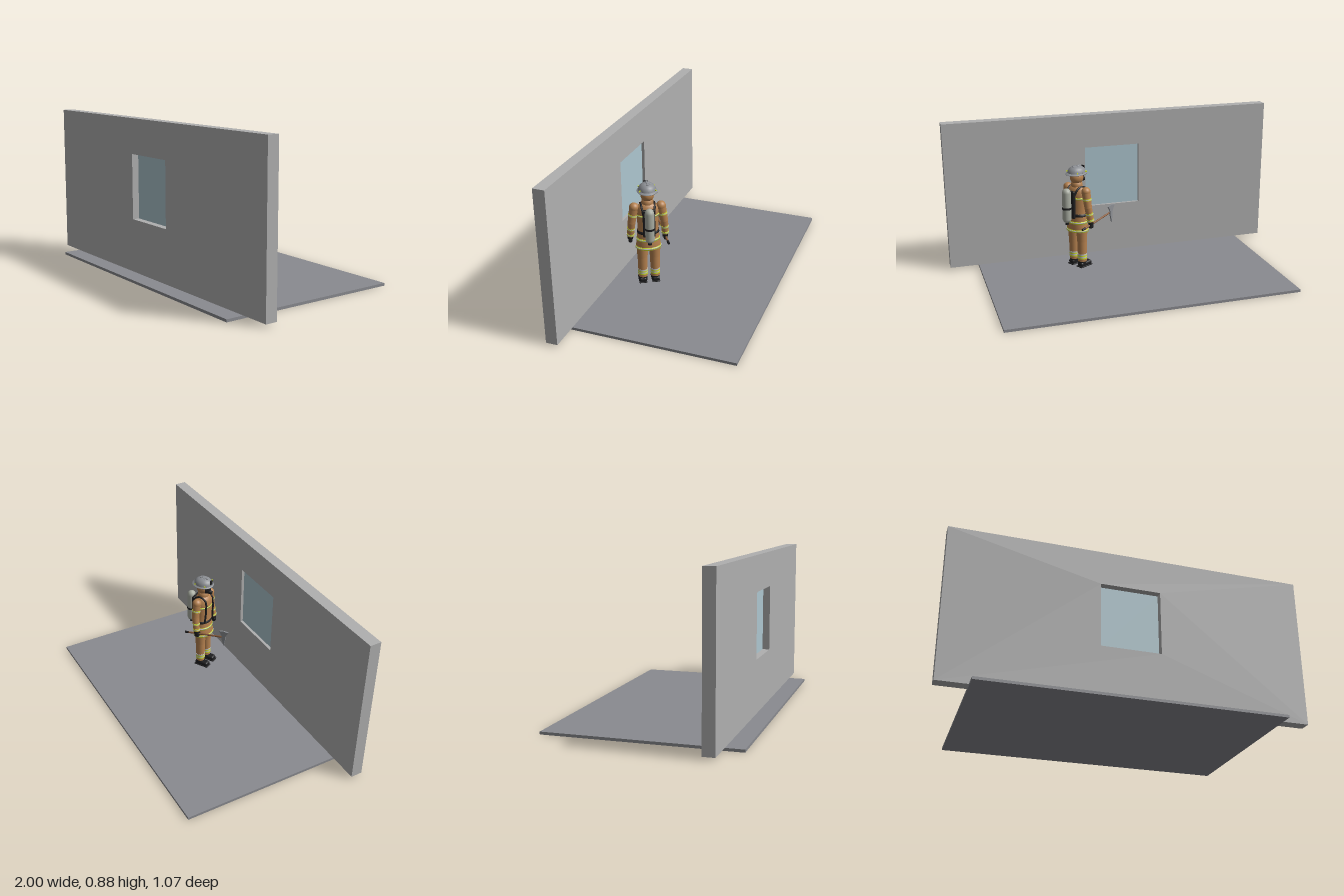
import * as THREE from 'three';
import { RoundedBoxGeometry } from 'three/addons/geometries/RoundedBoxGeometry.js';

const material = (name, color, side = THREE.FrontSide) => {
  const m = new THREE.MeshStandardMaterial({ color, side });
  m.name = name;
  return m;
};

export function createModel() {
  const wallGrey = material('wall grey', 0xb0b0b0);
  const floorGrey = material('floor grey', 0x8a8b90);
  const glassBlue = material('glass blue', 0xadc6cf);
  const tan = material('coat tan', 0xb5814f);
  const yellow = material('reflective yellow', 0xcfe02a);
  const silver = material('reflective silver', 0xc8c8c6);
  const black = material('black gear', 0x1e1e20);
  const steel = material('helmet grey', 0x8c8f94, THREE.DoubleSide);
  const tankGrey = material('tank grey', 0xa9ada2);
  const wood = material('handle wood', 0x8a5a38);

  const model = new THREE.Group();
  model.name = 'room with firefighter';
  const person = new THREE.Group();
  person.name = 'firefighter';
  person.position.set(0.27, 0, 0.167);
  person.rotation.y = -Math.PI / 3;
  model.add(person);

  const add = (parent, name, geometry, mat, x = 0, y = 0, z = 0) => {
    const mesh = new THREE.Mesh(geometry, mat);
    mesh.name = name;
    mesh.position.set(x, y, z);
    parent.add(mesh);
    return mesh;
  };
  // Turned part from [radius, height] pairs, flattened front to back
  const turned = (name, mat, points, depth = 1) => {
    const geo = new THREE.LatheGeometry(points.map(p => new THREE.Vector2(...p)), 32);
    const mesh = add(person, name, geo, mat);
    mesh.scale.z = depth;
    return mesh;
  };
  // Tapered tube between two points
  const limb = (name, mat, a, b, ra, rb) => {
    const from = new THREE.Vector3(...a), to = new THREE.Vector3(...b);
    const dir = to.clone().sub(from);
    const mesh = add(person, name, new THREE.CylinderGeometry(rb, ra, dir.length(), 20), mat);
    mesh.position.copy(from).add(to).multiplyScalar(0.5);
    mesh.quaternion.setFromUnitVectors(new THREE.Vector3(0, 1, 0), dir.normalize());
    return mesh;
  };
  // Reflective strip: yellow with a silver centre, around a limb at fraction t
  const limbBand = (a, b, t, r, h) => {
    const A = new THREE.Vector3(...a), B = new THREE.Vector3(...b);
    const d = B.clone().sub(A).normalize();
    const c = A.lerp(B, t);
    const at = s => c.clone().addScaledVector(d, s).toArray();
    limb('sleeve band', yellow, at(-h), at(h), r, r);
    limb('sleeve band centre', silver, at(-h * 0.35), at(h * 0.35), r + 0.0008, r + 0.0008);
  };
  const ball = (name, mat, x, y, z, r, sx = 1, sy = 1, sz = 1) => {
    const mesh = add(person, name, new THREE.SphereGeometry(r, 24, 16), mat, x, y, z);
    mesh.scale.set(sx, sy, sz);
    return mesh;
  };

  // Floor slab, wall with window opening, and pane
  add(model, 'floor', new THREE.BoxGeometry(1.665, 0.015, 1.066), floorGrey, 0, 0.0075, 0);
  const rect = (s, x0, y0, x1, y1) =>
    s.moveTo(x0, y0).lineTo(x1, y0).lineTo(x1, y1).lineTo(x0, y1).closePath();
  const wallShape = new THREE.Shape();
  rect(wallShape, -1, 0.015, 1, 0.885);
  const opening = new THREE.Path();
  rect(opening, -0.17, 0.318, 0.167, 0.686);
  wallShape.holes.push(opening);
  add(model, 'wall', new THREE.ExtrudeGeometry(wallShape, { depth: 0.065, bevelEnabled: false }), wallGrey, 0, 0, 0.369);
  add(model, 'window pane', new THREE.BoxGeometry(0.337, 0.368, 0.009), glassBlue, -0.0015, 0.502, 0.39);

  // Coat, with reflective bands and belt
  turned('coat', tan, [[0, 0.255], [0.067, 0.247], [0.072, 0.248], [0.066, 0.29], [0.059, 0.35], [0.059, 0.4],
    [0.062, 0.46], [0.06, 0.495], [0.045, 0.515], [0.026, 0.525], [0, 0.526]], 0.78);
  const coatBand = (name, mat, y0, y1, r0, r1) =>
    turned(name, mat, [[r0 - 0.01, y0], [r0, y0], [r1, y1], [r1 - 0.01, y1]], 0.78);
  coatBand('hem band', yellow, 0.249, 0.264, 0.0735, 0.071);
  coatBand('hem band centre', silver, 0.254, 0.259, 0.0735, 0.0728);
  coatBand('skirt band', yellow, 0.298, 0.313, 0.067, 0.0648);
  coatBand('skirt band centre', silver, 0.303, 0.308, 0.067, 0.0662);
  coatBand('belt', black, 0.342, 0.358, 0.0625, 0.0615);
  coatBand('chest band', yellow, 0.447, 0.459, 0.063, 0.0637);
  coatBand('chest band centre', silver, 0.451, 0.455, 0.0638, 0.0642);
  turned('collar', tan, [[0.032, 0.515], [0.034, 0.525], [0.031, 0.54], [0.024, 0.545]]);

  // Hooded head and face mask
  ball('head', tan, 0, 0.57, 0, 0.038, 1, 1.05, 1.08);
  ball('face mask', black, 0, 0.57, 0.016, 0.032, 0.95, 1.1, 1);
  limb('mask regulator', black, [0, 0.552, 0.04], [0, 0.549, 0.058], 0.013, 0.011);

  // Helmet with brim, ridges and badge plate
  const dome = [[0.049, 0.597], [0.047, 0.611], [0.04, 0.624], [0.028, 0.633], [0.014, 0.637], [0, 0.638]];
  turned('helmet dome', steel, dome, 1.16);
  const brim = turned('helmet brim', steel, [[0.04, 0.596], [0.057, 0.592], [0.057, 0.595], [0.045, 0.601]], 1.17);
  brim.position.z = -0.003;
  for (let i = 0; i < 4; i++) {
    const pivot = new THREE.Group();
    pivot.name = 'helmet ridge';
    pivot.position.y = 0.597;
    pivot.scale.set(1, 0.86, 1.16);
    pivot.rotation.y = 0;
    person.add(pivot);
    const ridge = add(pivot, 'ridge', new THREE.TorusGeometry(0.048, 0.0018, 6, 24, Math.PI), steel);
    ridge.rotation.y = i * Math.PI / 4;
  }
  add(person, 'helmet crest', new RoundedBoxGeometry(0.01, 0.008, 0.06, 2, 0.003), steel, 0, 0.636, 0);
  add(person, 'helmet badge plate', new RoundedBoxGeometry(0.022, 0.03, 0.006, 2, 0.002), black, 0, 0.617, 0.052);
  for (const s of [-1, 1]) for (const z of [-0.03, 0.03]) {
    const mark = add(person, 'helmet reflector', new THREE.BoxGeometry(0.004, 0.006, 0.02), yellow, s * 0.041, 0.606, z);
    mark.rotation.y = -s * Math.sign(z) * 0.6 * -1;
  }

  // Legs and boots
  for (const s of [-1, 1]) {
    const x = s * 0.035;
    limb('thigh', tan, [x, 0.185, 0], [x, 0.26, 0], 0.029, 0.033);
    limb('trouser leg', tan, [x, 0.062, 0], [x, 0.19, 0], 0.026, 0.0285);
    for (const [y, mat] of [[0.082, yellow], [0.09, silver], [0.098, yellow], [0.106, silver]])
      limb('ankle band', mat, [x, y - 0.004, 0], [x, y + 0.004, 0], 0.0282, 0.0282);
    limb('boot shaft', black, [x, 0.035, -0.002], [x, 0.068, 0], 0.024, 0.024);
    add(person, 'boot foot', new RoundedBoxGeometry(0.042, 0.028, 0.086, 4, 0.012), black, x * 1.05, 0.043, 0.016);
    add(person, 'boot sole', new RoundedBoxGeometry(0.045, 0.007, 0.092, 2, 0.003), black, x * 1.05, 0.029, 0.016);
  }

  // Sleeves and gloves
  for (const s of [-1, 1]) {
    const shoulder = [s * 0.075, 0.497, 0], elbow = [s * 0.091, 0.405, 0], wrist = [s * 0.098, 0.318, 0.012];
    ball('shoulder', tan, ...shoulder, 0.027);
    limb('upper sleeve', tan, elbow, shoulder, 0.022, 0.026);
    ball('elbow', tan, ...elbow, 0.0222);
    limb('lower sleeve', tan, wrist, elbow, 0.0195, 0.022);
    limbBand(shoulder, elbow, 0.5, 0.0258, 0.006);
    limbBand(elbow, wrist, 0.45, 0.0225, 0.006);
    limbBand(elbow, wrist, 0.88, 0.0215, 0.006);
    limb('glove cuff', black, [s * 0.099, 0.3, 0.013], wrist, 0.015, 0.017);
    add(person, 'glove', new RoundedBoxGeometry(0.022, 0.036, 0.03, 4, 0.009), black, s * 0.099, 0.295, 0.014);
    add(person, 'thumb', new RoundedBoxGeometry(0.01, 0.022, 0.01, 2, 0.004), black, s * 0.088, 0.297, 0.028);
  }

  // Breathing set: back plate, bottle, strap and harness
  add(person, 'back plate', new RoundedBoxGeometry(0.068, 0.165, 0.018, 3, 0.005), black, 0, 0.417, -0.053);
  const bottle = turned('air bottle', tankGrey, [[0, 0.313], [0.012, 0.315], [0.021, 0.322], [0.026, 0.336],
    [0.026, 0.492], [0.022, 0.508], [0.012, 0.517], [0, 0.519]]);
  bottle.position.z = -0.083;
  limb('bottle valve', black, [0, 0.302, -0.083], [0, 0.318, -0.083], 0.011, 0.011);
  limb('bottle strap', black, [0, 0.395, -0.083], [0, 0.407, -0.083], 0.0275, 0.0275);
  for (const s of [-1, 1]) {
    const path = new THREE.CatmullRomCurve3([[0.03, 0.47, -0.052], [0.036, 0.507, -0.03], [0.037, 0.518, 0],
      [0.037, 0.5, 0.036], [0.039, 0.45, 0.043], [0.043, 0.38, 0.039], [0.045, 0.35, 0.036]]
      .map(([x, y, z]) => new THREE.Vector3(s * x, y, z)));
    add(person, 'harness strap', new THREE.TubeGeometry(path, 32, 0.006, 8), black);
  }

  // Axe held level in the right hand
  limb('axe handle', wood, [-0.106, 0.288, -0.061], [-0.079, 0.326, 0.2], 0.0055, 0.005);
  limb('axe grip', black, [-0.1065, 0.2875, -0.064], [-0.104, 0.291, -0.04], 0.0065, 0.0065);
  const head = new THREE.Shape();
  [[-0.01, -0.012], [0.002, -0.055], [0.01, -0.012], [0.011, 0.012], [0.03, 0.046], [0, 0.05], [-0.028, 0.044], [-0.01, 0.012]]
    .forEach(([x, y], i) => i ? head.lineTo(x, y) : head.moveTo(x, y));
  const axe = add(person, 'axe head', new THREE.ExtrudeGeometry(head, { depth: 0.008, bevelEnabled: false }),
    steel, -0.084, 0.324, 0.192);
  axe.rotation.y = -Math.PI / 2 + 0.1;
  return model;
}
